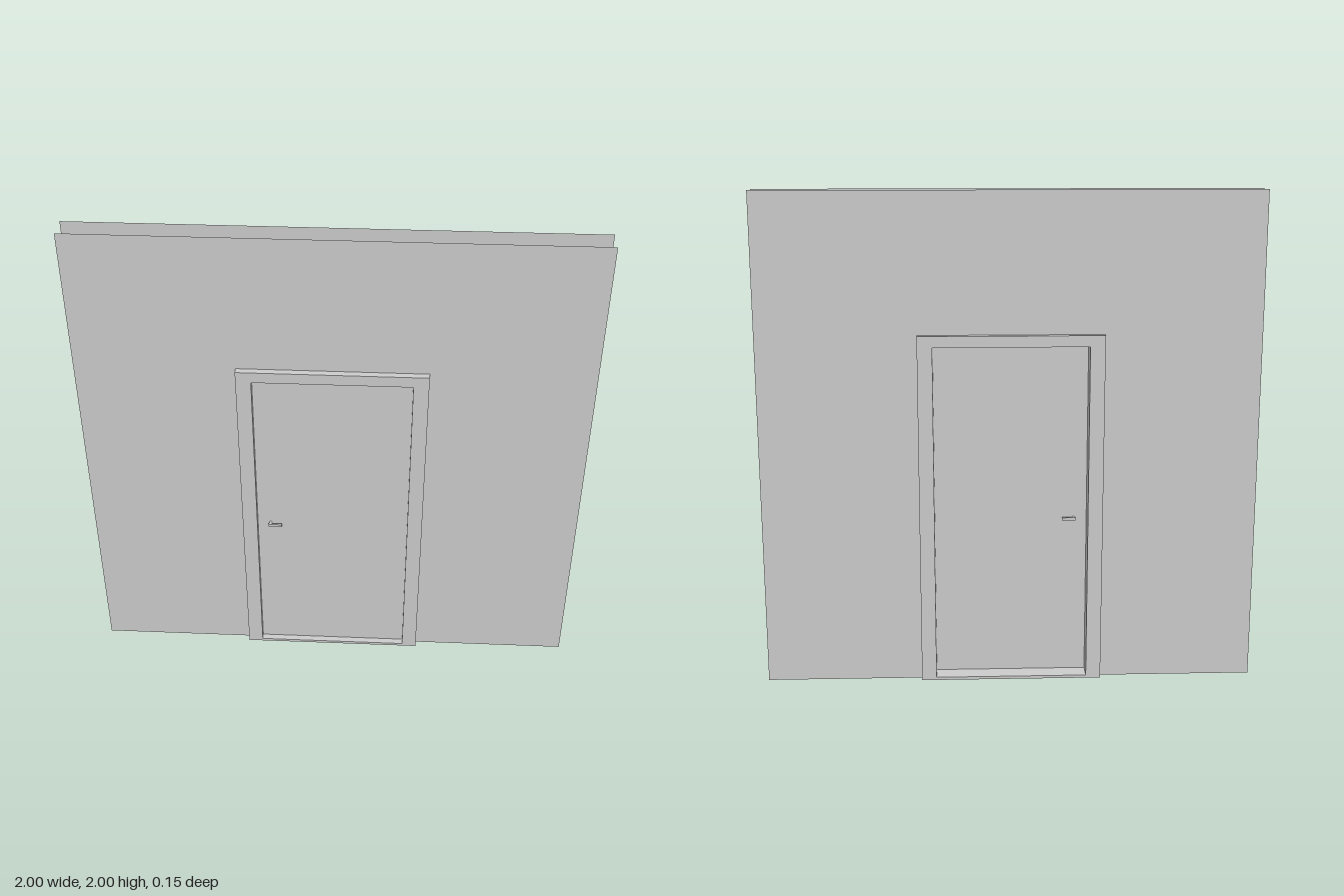
import * as THREE from 'three';

const grey = new THREE.MeshStandardMaterial({ color: 0xcccccc, flatShading: true });
const thin = new THREE.MeshStandardMaterial({ color: 0xcccccc, side: THREE.DoubleSide });

// Main dimensions
const outer = { l: -0.375, r: 0.365, top: 1.44 };
const inner = { l: -0.315, r: 0.305, top: 1.395 };
const frameZ = 0.073, wallZ = 0.046, sill = 0.012;
const doorFront = 0.046, doorBack = 0.005;

function add(parent, name, geometry, material = grey) {
  const mesh = new THREE.Mesh(geometry, material);
  mesh.name = name;
  parent.add(mesh);
  return mesh;
}

// Box given by its opposite corners
function block(x0, x1, y0, y1, z0, z1) {
  return new THREE.BoxGeometry(x1 - x0, y1 - y0, z1 - z0)
    .translate((x0 + x1) / 2, (y0 + y1) / 2, (z0 + z1) / 2);
}

// Upside-down U: a rectangle from the floor with a doorway cut from it
function archShape(l, r, top, hole) {
  return new THREE.Shape([
    [l, 0], [hole.l, 0], [hole.l, hole.top], [hole.r, hole.top],
    [hole.r, 0], [r, 0], [r, top], [l, top],
  ].map(([x, y]) => new THREE.Vector2(x, y)));
}

// Remove the faces lying on the floor
function openBottom(geometry) {
  const g = geometry.index ? geometry.toNonIndexed() : geometry;
  const p = g.attributes.position;
  const kept = [];
  for (let i = 0; i < p.count; i += 3) {
    if (Math.max(p.getY(i), p.getY(i + 1), p.getY(i + 2)) > 1e-5) kept.push(i, i + 1, i + 2);
  }
  g.clearGroups();
  g.setIndex(kept);
  return g;
}

// Lever handle on a short neck, pointing out along +z from the door face
function makeHandle(name) {
  const handle = new THREE.Group();
  handle.name = name;
  const neck = new THREE.CylinderGeometry(0.006, 0.006, 0.022, 16);
  add(handle, 'handleNeck', neck.rotateX(Math.PI / 2).translate(0, 0, 0.011));
  add(handle, 'handleLever', block(-0.008, 0.047, -0.006, 0.006, 0.014, 0.022));
  return handle;
}

export function createModel() {
  const model = new THREE.Group();
  model.name = 'doorInWall';

  // Two thin wall skins around the frame
  for (const [name, side] of [['frontWall', 1], ['backWall', -1]]) {
    const wall = new THREE.ShapeGeometry(archShape(-1, 1, 2, outer));
    if (side < 0) wall.rotateY(Math.PI).scale(-1, 1, 1);
    add(model, name, wall, thin).position.z = side * wallZ;
  }

  // Frame with open jamb feet
  const frame = new THREE.ExtrudeGeometry(archShape(outer.l, outer.r, outer.top, inner),
    { depth: 2 * frameZ, bevelEnabled: false });
  add(model, 'doorFrame', openBottom(frame.translate(0, 0, -frameZ)));

  // Threshold and door leaf
  add(model, 'threshold', block(inner.l, inner.r, 0, sill, -frameZ, frameZ));
  add(model, 'doorLeaf', block(inner.l, inner.r, sill, inner.top, doorBack, doorFront));

  // Handles on both faces, levers pointing to the door's middle
  const front = makeHandle('frontHandle');
  front.position.set(-0.262, 0.674, doorFront);
  const back = makeHandle('backHandle');
  back.position.set(-0.262, 0.674, doorBack);
  back.scale.z = -1;
  model.add(front, back);

  return model;
}
